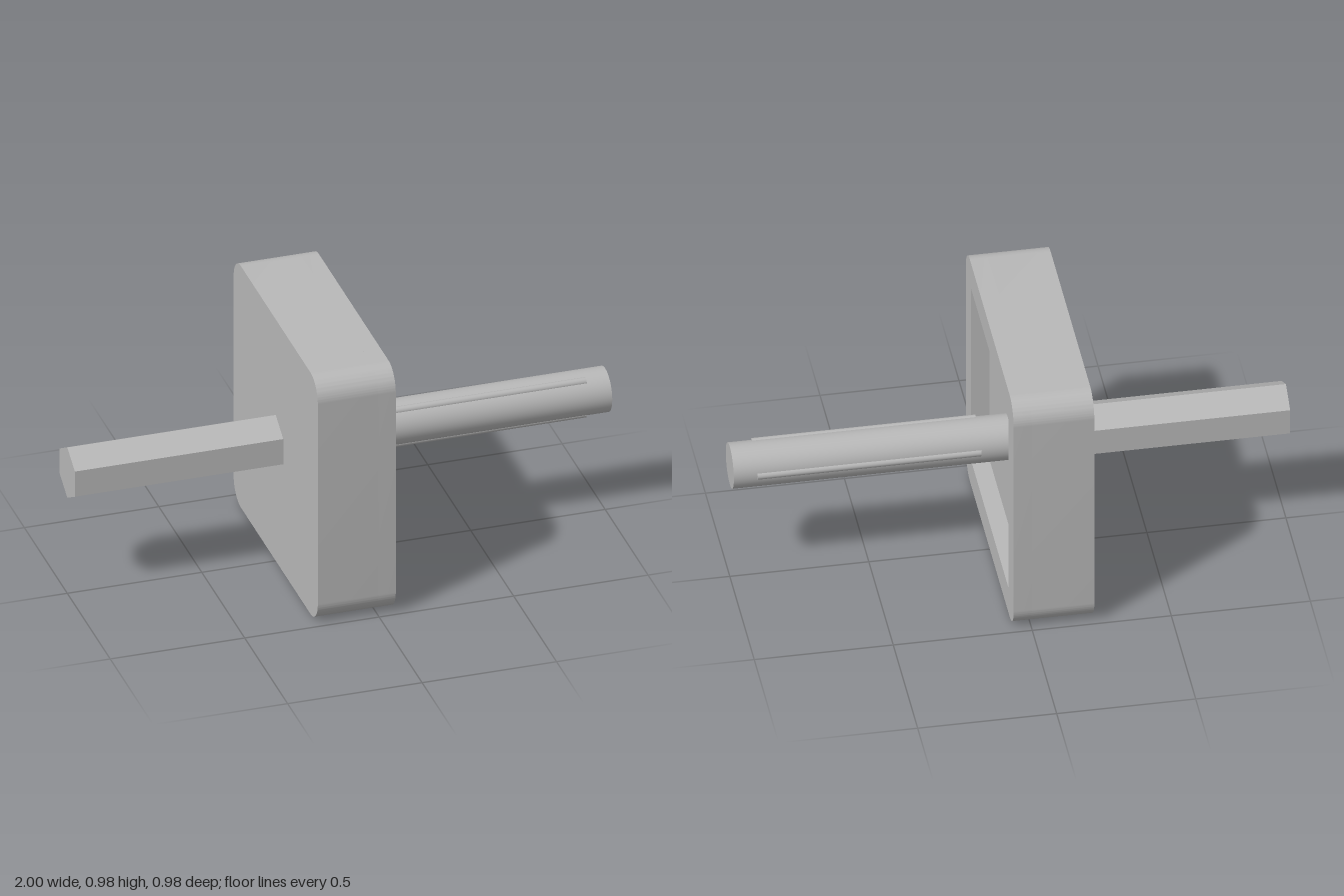
import * as THREE from 'three';
import { toCreasedNormals } from 'three/addons/utils/BufferGeometryUtils.js';

const CENTER_Y = 0.49;

// Rounded square outline centred on the axis
function roundedSquare(h, r) {
  const s = new THREE.Shape();
  s.moveTo(-h + r, -h);
  s.lineTo(h - r, -h);
  s.absarc(h - r, -h + r, r, -Math.PI / 2, 0, false);
  s.lineTo(h, h - r);
  s.absarc(h - r, h - r, r, 0, Math.PI / 2, false);
  s.lineTo(-h + r, h);
  s.absarc(-h + r, h - r, r, Math.PI / 2, Math.PI, false);
  s.lineTo(-h, -h + r);
  s.absarc(-h + r, -h + r, r, Math.PI, Math.PI * 1.5, false);
  return s;
}

// Extrude a shape along x between two stations
function extrudeX(shape, x0, x1) {
  const g = new THREE.ExtrudeGeometry(shape, { depth: x1 - x0, bevelEnabled: false, curveSegments: 14 });
  g.rotateY(Math.PI / 2);
  g.translate(x0, 0, 0);
  return toCreasedNormals(g, 0.5);
}

// Cylinder or prism along x between two stations
function rodX(radius, sides, x0, x1) {
  const g = new THREE.CylinderGeometry(radius, radius, x1 - x0, sides);
  g.rotateZ(-Math.PI / 2);
  g.translate((x0 + x1) / 2, 0, 0);
  return g;
}

export function createModel() {
  const model = new THREE.Group();
  model.name = 'shaftedPlate';
  const grey = new THREE.MeshStandardMaterial({ color: 0xb8b8b8 });
  grey.name = 'grey';

  const add = (name, geometry) => {
    const mesh = new THREE.Mesh(geometry, grey);
    mesh.name = name;
    mesh.position.y = CENTER_Y;
    model.add(mesh);
    return mesh;
  };

  // Square block: solid back and a raised rim around the recess
  add('plateBack', extrudeX(roundedSquare(0.49, 0.085), -0.225, 0));
  const rim = roundedSquare(0.49, 0.085);
  const w = 0.38;
  rim.holes.push(new THREE.Path([
    new THREE.Vector2(-w, -w), new THREE.Vector2(-w, w),
    new THREE.Vector2(w, w), new THREE.Vector2(w, -w),
  ]));
  add('plateRim', extrudeX(rim, 0, 0.065));

  // Hexagonal shaft with an edge pointing up
  const hex = rodX(0.102, 6, -1, -0.225);
  hex.rotateX(Math.PI / 2);
  add('hexShaft', toCreasedNormals(hex, 0.5));

  // Round shaft standing in the recess
  add('roundShaft', rodX(0.083, 48, 0, 1));

  // Three slim ribs spaced evenly around the round shaft
  for (let i = 0; i < 3; i++) {
    const a = Math.PI + (i * 2 * Math.PI) / 3;
    const rib = rodX(0.015, 16, 0.11, 0.915);
    rib.translate(0, Math.sin(a) * 0.075, Math.cos(a) * 0.075);
    add('shaftRib' + (i + 1), rib);
  }
  return model;
}
